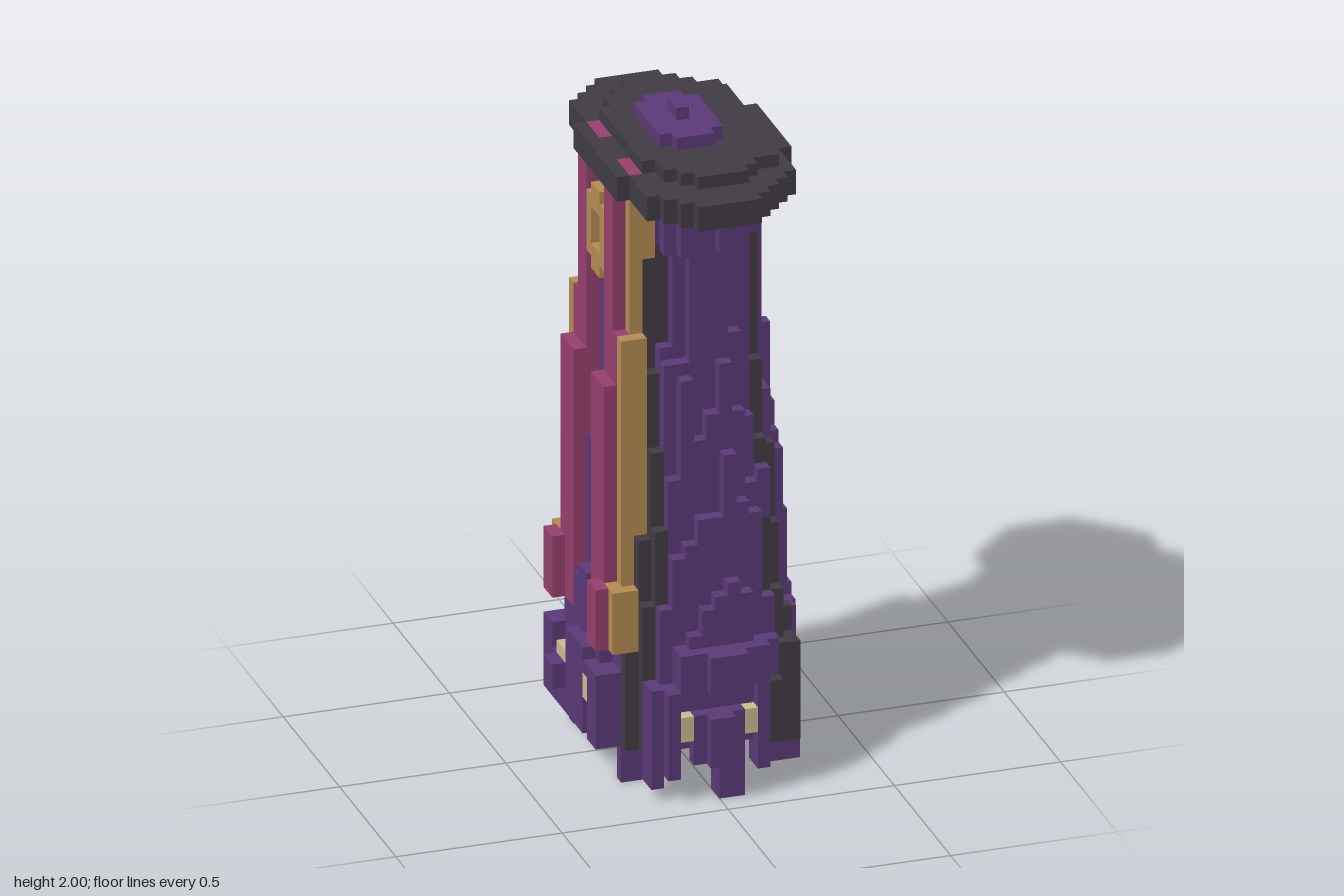
import * as THREE from 'three';

const V = 2 / 52; // cube size: the tower is 52 cubes tall
const CX = 0.5;   // tower axis, in cubes

const hash = (a, b) => {
  const s = Math.sin(a * 127.1 + b * 311.7) * 43758.5453;
  return s - Math.floor(s);
};

export function createModel() {
  const mat = (name, color) => {
    const m = new THREE.MeshStandardMaterial({ color });
    m.name = name;
    return m;
  };
  const purple = mat('purple', 0x5b3a78), charcoal = mat('charcoal', 0x413c44);
  const pink = mat('pink', 0x97406e), gold = mat('gold', 0xb58c52), cream = mat('cream', 0xcabd92);
  const parts = {
    robe: purple, tentacles: purple, cap: purple, ridges: charcoal, brim: charcoal,
    sashPanels: pink, sashTrim: gold, medallion: gold, eyes: cream,
  };

  const cells = new Map();
  const key = (x, y, z) => `${x},${y},${z}`;
  const set = (x, y, z, part) => cells.set(key(x, y, z), part);
  const box = (part, x0, x1, y0, y1, z0, z1) => {
    for (let x = x0; x < x1; x++)
      for (let y = y0; y < y1; y++)
        for (let z = z0; z < z1; z++) set(x, y, z, part);
  };
  // the same box at front and back
  const pair = (part, x0, x1, y0, y1, z0, z1) => {
    box(part, x0, x1, y0, y1, z0, z1);
    box(part, x0, x1, y0, y1, -z1, -z0);
  };

  // Tapering robe with four ridges
  for (let x = -9; x < 9; x++) for (let z = -12; z < 12; z++) {
    const dx = x + 0.5 - CX, dz = z + 0.5, az = Math.abs(dz);
    const mz = dz < 0 ? -z - 1 : z; // mirrored noise
    for (let y = 3; y < 47; y++) {
      const yy = Math.max(y, 10);
      const rx = Math.max(5.6, 5.6 + (35 - yy) / 11);
      const rz = Math.max(6.9, 6.9 + (37 - yy) / 7);
      const t = THREE.MathUtils.radToDeg(Math.atan2(az / rz, Math.abs(dx) / rx));
      const r = (rx + rz) / 2;
      const d = Math.hypot(dx / rx, dz / rz) * r; // distance in cubes
      const ridgeAngle = THREE.MathUtils.mapLinear(y, 3, 47, 47, 42);
      let part = 'robe', out = (hash(x, mz) - 0.6) * 1.1;
      if (Math.abs(t - ridgeAngle) < 9.5) {
        part = y < 43 ? 'ridges' : 'robe';
        out = y < 5 && d < r - 2.5 ? -9 : 0;
      }
      else if (y < 9) out = y < 4 ? -9 : -1.8;                  // under the hem
      else if (dx < 0 && t < 38) out = -0.5;                    // behind the sash
      else if (y < 12 && t > 58) out += 0.5;                    // ruffle
      else if (y >= 43 && y < 46 && t > 58) out += 0.9;         // collar
      if (d <= r + out) set(x, y, z, part);
    }
  }
  pair('ridges', 4, 5, 4, 9, 9, 11);
  pair('ridges', 5, 7, 3, 11, 7, 9);

  // Sash on the -x side: stepped pink panels with gold edges
  pair('sashPanels', -5, -4, 16, 47, 2, 4);
  pair('sashPanels', -6, -5, 16, 36, 2, 5);
  pair('sashPanels', -6, -5, 36, 47, 2, 4);
  pair('sashPanels', -7, -6, 11, 32, 2, 5);
  pair('sashPanels', -8, -7, 11, 16, 4, 6);
  pair('sashTrim', -7, -5, 11, 16, 5, 7);
  pair('sashTrim', -6, -4, 16, 36, 5, 6);
  pair('sashTrim', -5, -4, 36, 47, 4, 5);
  pair('sashTrim', -4, -3, 42, 47, 4, 5);

  // Front and back faces under a brow, with hanging strands
  pair('tentacles', -3, 4, 9, 12, 9, 11);
  pair('tentacles', -1, 2, 9, 12, 11, 12);
  pair('tentacles', -3, 4, 4, 9, 8, 10);
  pair('tentacles', -2, 2, 3, 7, 10, 11);
  pair('tentacles', -1, 1, 3, 7, 11, 12);
  pair('tentacles', -4, -3, 2, 9, 9, 11);
  pair('tentacles', 3, 4, 2, 10, 9, 11);
  pair('tentacles', 0, 2, 0, 4, 9, 11);
  pair('tentacles', -5, -4, 1, 9, 8, 10);

  // Side strands
  pair('tentacles', 6, 8, 2, 12, 4, 5);
  pair('tentacles', 5, 8, 0, 4, 5, 6);
  pair('tentacles', 6, 7, 3, 9, 2, 4);
  pair('tentacles', -6, -4, 0, 5, 5, 6);
  pair('tentacles', -8, -6, 3, 9, 4, 6);
  box('tentacles', 6, 8, 4, 9, -3, 2);
  box('tentacles', 8, 9, 3, 12, -1, 1);
  box('tentacles', 8, 9, 7, 12, -3, -1);
  box('tentacles', -7, -6, 4, 11, -4, 4);
  box('tentacles', -9, -8, 5, 7, -3, -1);
  box('tentacles', -8, -7, 3, 7, -4, -1);
  box('tentacles', -8, -7, 3, 10, -1, 3);
  box('tentacles', -8, -7, 8, 9, 3, 4);

  // Eyes
  for (const x of [-3, 2]) pair('eyes', x, x + 1, 5, 7, 10, 11);
  box('eyes', 7, 8, 6, 7, -3, -2);
  box('eyes', -8, -7, 7, 8, -3, -1);
  box('eyes', -8, -7, 6, 8, 3, 4);

  // Medallion ring near the top of the sash, on a gold plate
  box('medallion', -5, -4, 40, 45, -2, 2);
  for (let z = -2; z < 2; z++) for (let y = 39; y < 46; y++) {
    const side = z === -2 || z === 1, end = y === 39 || y === 45;
    if ((side || y < 41 || y > 43) && !(side && end)) set(-6, y, z, 'medallion');
  }

  // Hat tiers: rows of [z from, z to, x from, x to], mirrored in z
  const tier = (part, y0, y1, rows) =>
    rows.forEach(([z0, z1, x0, x1]) => pair(part, x0, x1, y0, y1, z0, z1));
  const crown = [[0, 5, -4, 6], [5, 7, -3, 6], [7, 8, -2, 4], [8, 9, -1, 3]];
  tier('brim', 46, 47, crown);
  tier('brim', 47, 49, [[0, 4, -6, 8], [4, 5, -6, 7], [5, 8, -5, 7], [8, 9, -5, 6],
    [9, 10, -4, 5], [10, 11, -3, 4], [11, 12, -2, 3]]);
  tier('brim', 49, 50, crown);
  tier('cap', 50, 51, [[0, 3, -2, 3], [3, 4, -1, 2]]);
  tier('cap', 51, 52, [[0, 1, 0, 1]]);
  pair('sashPanels', -5, -4, 47, 49, 2, 5); // panel ends passing through the brim

  // Emit only the exposed cube faces, one mesh per part
  const buffers = Object.fromEntries(Object.keys(parts).map((p) => [p, []]));
  for (const [k, part] of cells) {
    const c = k.split(',').map(Number);
    for (let axis = 0; axis < 3; axis++) for (const s of [0, 1]) {
      const n = [...c];
      n[axis] += s ? 1 : -1;
      if (cells.has(key(...n))) continue;
      const u = (axis + 1) % 3, w = (axis + 2) % 3;
      const corner = (a, b) => {
        const p = [...c];
        p[axis] += s; p[u] += a; p[w] += b;
        return p.map((q) => q * V);
      };
      const q = [corner(0, 0), corner(1, 0), corner(1, 1), corner(0, 1)];
      if (!s) q.reverse();
      for (const i of [0, 1, 2, 0, 2, 3]) buffers[part].push(...q[i]);
    }
  }
  const model = new THREE.Group();
  model.name = 'robedTower';
  for (const [name, material] of Object.entries(parts)) {
    const g = new THREE.BufferGeometry();
    g.setAttribute('position', new THREE.Float32BufferAttribute(buffers[name], 3));
    g.computeVertexNormals();
    const mesh = new THREE.Mesh(g, material);
    mesh.name = name;
    model.add(mesh);
  }
  return model;
}
